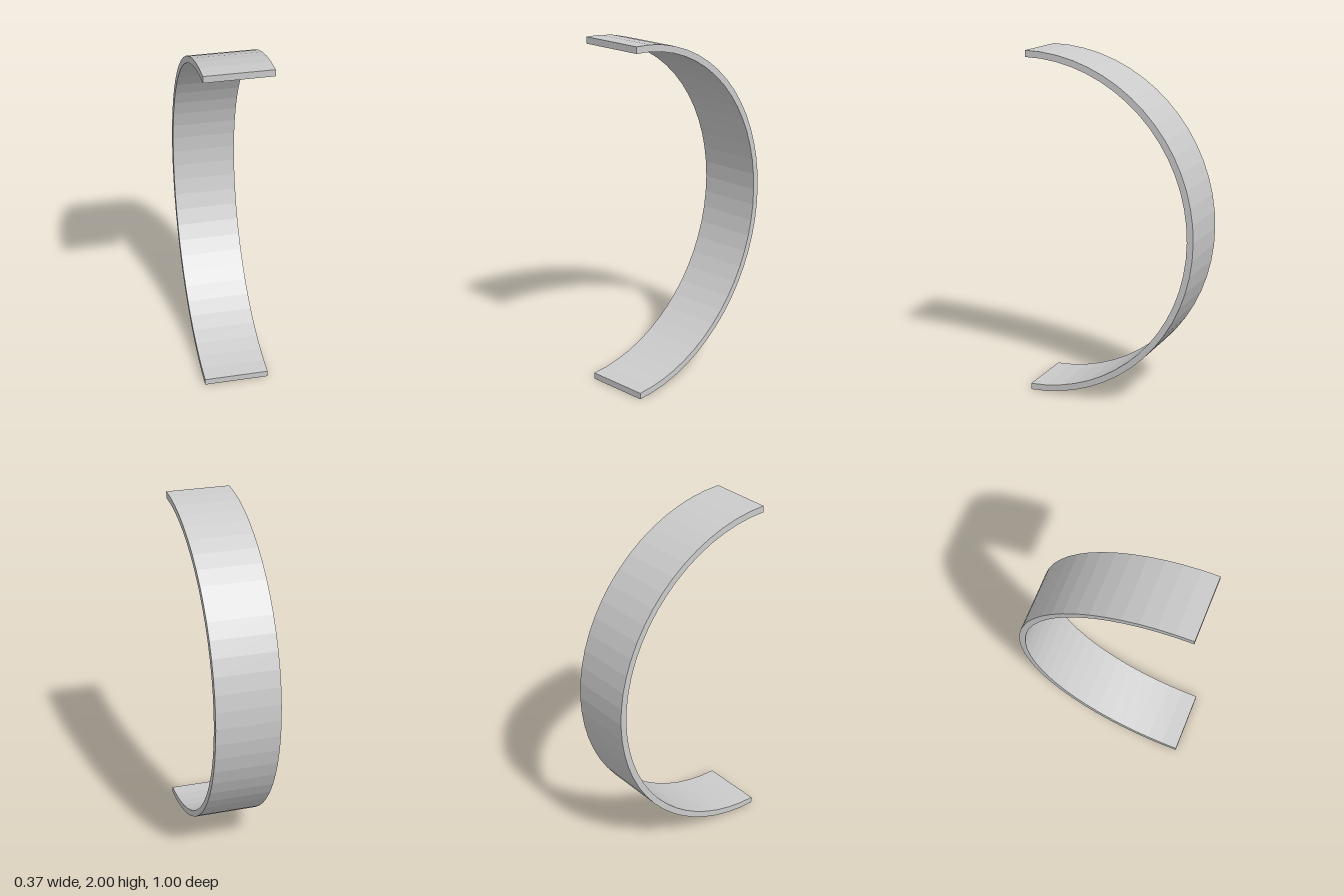
import * as THREE from 'three';

export function createModel() {
  const group = new THREE.Group();
  group.name = 'halfRing';
  const width = 0.37, outer = 1, inner = 0.963;

  // Half-ring profile, open towards the front
  const profile = new THREE.Shape();
  profile.absarc(0.5, 1, outer, Math.PI / 2, Math.PI * 1.5, false);
  profile.absarc(0.5, 1, inner, Math.PI * 1.5, Math.PI / 2, true);
  profile.closePath();

  // Arcs are divided into 2 * curveSegments = 32 flat facets
  const geometry = new THREE.ExtrudeGeometry(profile, {
    depth: width, curveSegments: 16, bevelEnabled: false,
  });
  geometry.translate(0, 0, -width / 2);
  geometry.rotateY(-Math.PI / 2); // profile x becomes z

  const band = new THREE.Mesh(
    geometry,
    new THREE.MeshStandardMaterial({ color: 0xcccccc, flatShading: true }),
  );
  band.name = 'curvedBand';
  group.add(band);
  return group;
}
